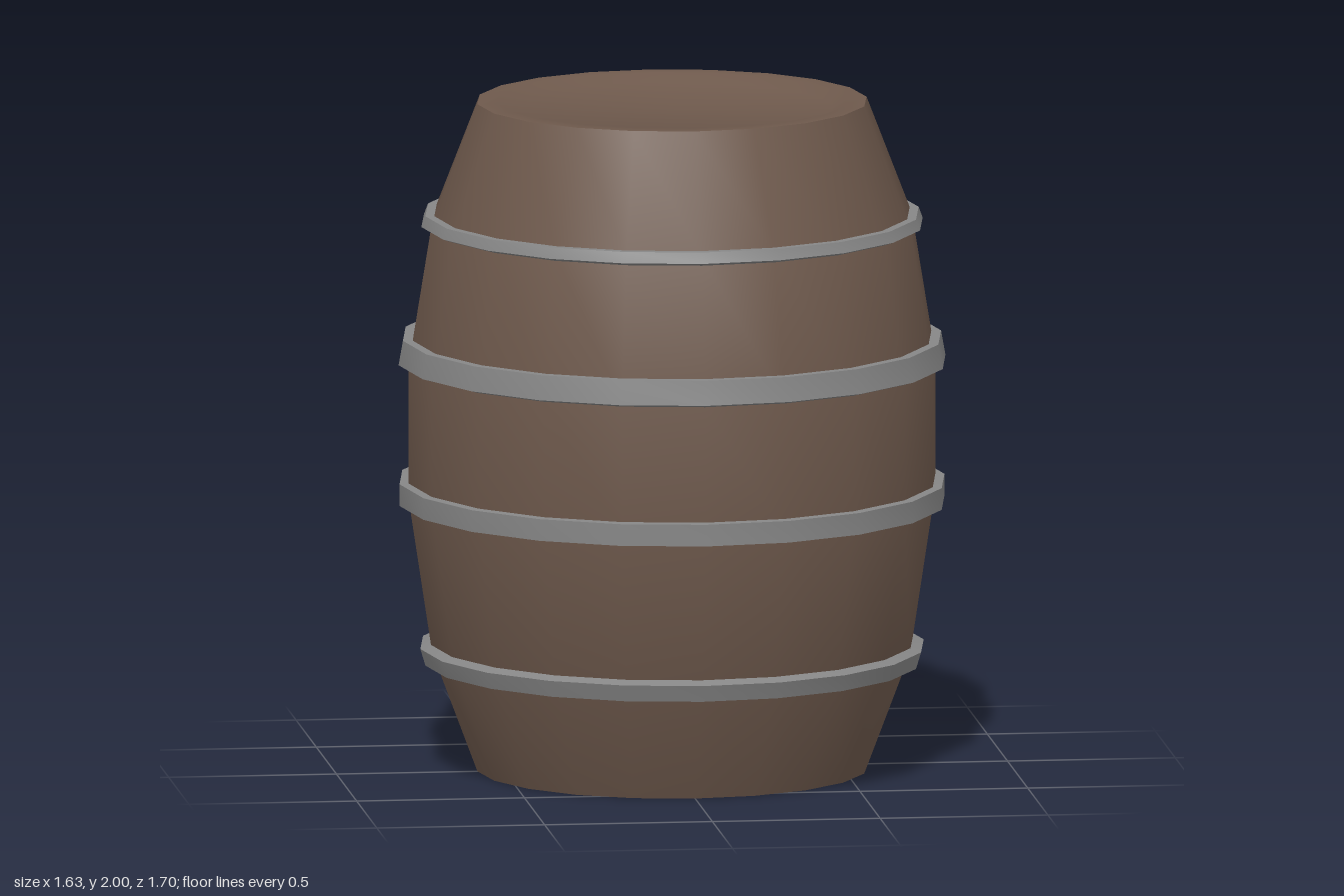
import * as THREE from 'three';
import { toCreasedNormals } from 'three/addons/utils/BufferGeometryUtils.js';

const SIDES = 20;
const wood = new THREE.MeshStandardMaterial({ color: 0x6e594c });
const iron = new THREE.MeshStandardMaterial({ color: 0x868686 });

// Turned part; the belly is slightly deeper front to back than it is wide
function turned(name, profile, material) {
  const points = profile.map(([r, y]) => new THREE.Vector2(r, y));
  const geometry = new THREE.LatheGeometry(points, SIDES);
  const pos = geometry.attributes.position;
  for (let i = 0; i < pos.count; i++) {
    const depth = 1.045 - 0.055 * Math.abs(pos.getY(i) - 1) ** 4;
    pos.setZ(i, pos.getZ(i) * depth);
  }
  const mesh = new THREE.Mesh(toCreasedNormals(geometry, 0.55), material);
  mesh.name = name;
  return mesh;
}

export function createModel() {
  const barrel = new THREE.Group();
  barrel.name = 'barrel';

  // Wooden body: recessed bottom, bulging staves, shallow dished lid
  barrel.add(turned('body', [
    [0, 0.1], [0.54, 0.1], [0.53, 0], [0.58, 0],
    [0.715, 0.36], [0.785, 0.82], [0.785, 1.22], [0.715, 1.65],
    [0.58, 2], [0.52, 2], [0.48, 1.978], [0, 1.978],
  ], wood));

  // Iron hoops: lower and upper outer edge, then the inner edges sunk in the wood
  const hoops = {
    bottomHoop: [[0.735, 0.32], [0.75, 0.37], [0.71, 0.385], [0.69, 0.32]],
    lowerMiddleHoop: [[0.812, 0.8], [0.812, 0.865], [0.77, 0.868], [0.77, 0.8]],
    upperMiddleHoop: [[0.815, 1.222], [0.802, 1.295], [0.76, 1.295], [0.775, 1.21]],
    topHoop: [[0.747, 1.635], [0.735, 1.667], [0.69, 1.667], [0.71, 1.622]],
  };
  for (const [name, section] of Object.entries(hoops)) {
    barrel.add(turned(name, [...section, section[0]], iron));
  }
  return barrel;
}
